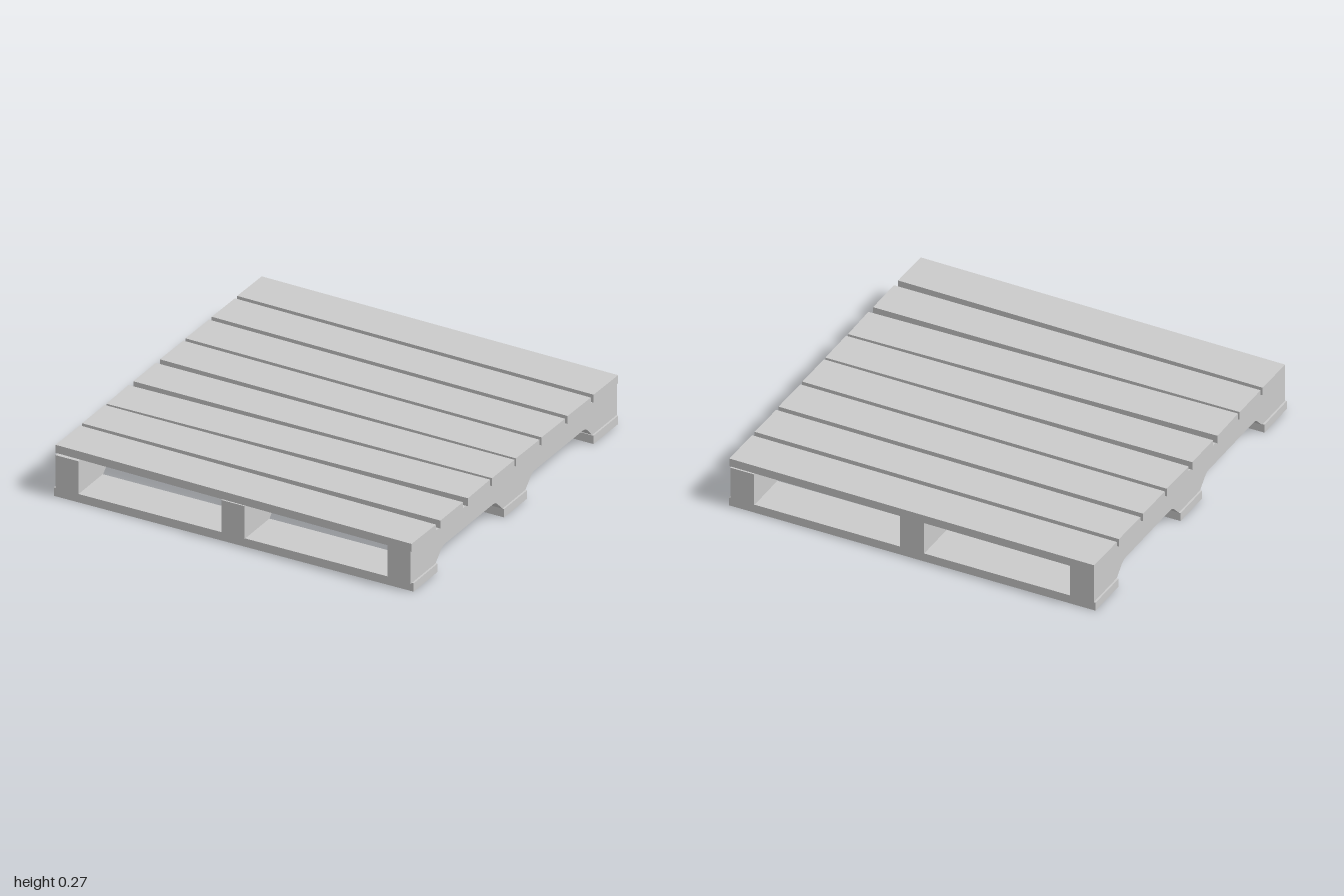
import * as THREE from 'three';

const material = new THREE.MeshStandardMaterial({ color: 0xcccccc, flatShading: true });
const LENGTH = 1.97;

// Plank along x, slightly askew: centre z at its -x end and at its +x end
function plank(name, zLeftEnd, zRightEnd, width, yBottom, thickness) {
  const mesh = new THREE.Mesh(new THREE.BoxGeometry(LENGTH, thickness, width), material);
  mesh.name = name;
  mesh.position.set(0, yBottom + thickness / 2, (zLeftEnd + zRightEnd) / 2);
  mesh.rotation.y = -Math.atan2(zRightEnd - zLeftEnd, LENGTH);
  return mesh;
}

// Side profile of a stringer with two rounded fork notches; shape x runs along z
function stringerShape() {
  const bottom = 0.045, notch = 0.11, top = 0.222, end = 0.988;
  const s = new THREE.Shape();
  s.moveTo(-end, bottom);
  for (const [a, b] of [[-0.75, -0.11], [0.11, 0.75]]) {
    s.lineTo(a, bottom);
    s.lineTo(a + 0.04, 0.084);
    s.quadraticCurveTo(a + 0.062, notch, a + 0.09, notch);
    s.lineTo(b - 0.09, notch);
    s.quadraticCurveTo(b - 0.062, notch, b - 0.04, 0.084);
    s.lineTo(b, bottom);
  }
  s.lineTo(end, bottom);
  s.lineTo(end, top);
  s.lineTo(-end, top);
  s.closePath();
  return s;
}

export function createModel() {
  const group = new THREE.Group();
  group.name = 'pallet';

  // Top deck: [centre z at -x end, centre z at +x end, width], back to front
  const deck = [
    [-0.885, -0.863, 0.23],
    [-0.635, -0.608, 0.217],
    [-0.385, -0.36, 0.22],
    [-0.14, -0.115, 0.22],
    [0.118, 0.118, 0.215],
    [0.378, 0.35, 0.217],
    [0.608, 0.612, 0.215],
    [0.853, 0.879, 0.228],
  ];
  deck.forEach(([l, r, w], i) => group.add(plank(`deckBoard${i + 1}`, l, r, w, 0.222, 0.043)));

  // Bottom boards
  group.add(plank('bottomBoardBack', -0.87, -0.863, 0.235, 0, 0.045));
  group.add(plank('bottomBoardMiddle', 0, 0, 0.22, 0, 0.045));
  group.add(plank('bottomBoardFront', 0.872, 0.86, 0.232, 0, 0.045));

  // Three notched stringers running front to back
  const thickness = 0.127;
  const geometry = new THREE.ExtrudeGeometry(stringerShape(), {
    depth: thickness, bevelEnabled: false, curveSegments: 6,
  });
  geometry.translate(0, 0, -thickness / 2);
  geometry.rotateY(-Math.PI / 2);
  for (const [name, x] of [['stringerRight', -0.912], ['stringerMiddle', 0], ['stringerLeft', 0.912]]) {
    const mesh = new THREE.Mesh(geometry, material);
    mesh.name = name;
    mesh.position.x = x;
    group.add(mesh);
  }

  return group;
}
